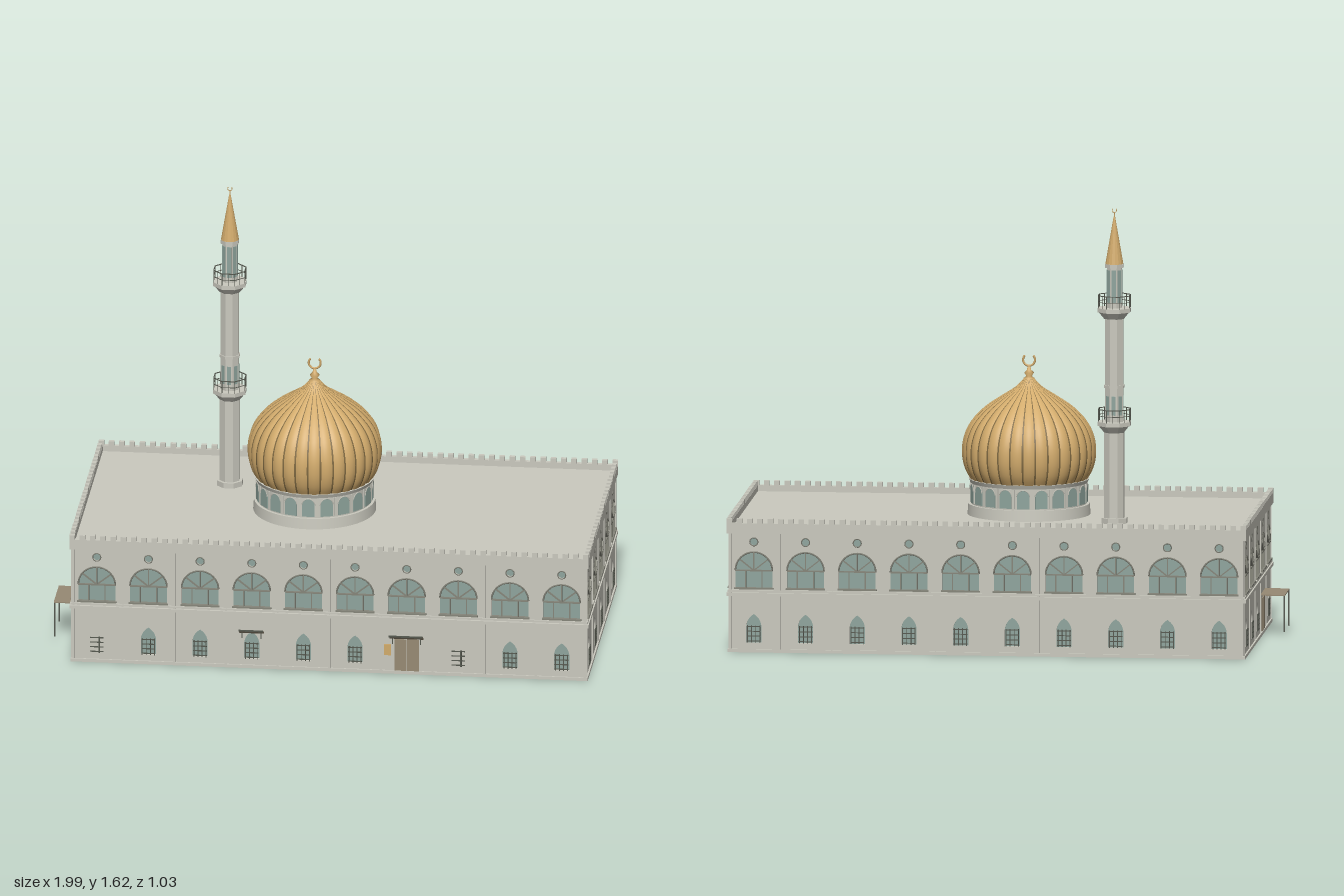
import * as THREE from 'three';
import { mergeGeometries } from 'three/addons/utils/BufferGeometryUtils.js';

const mat = (name, color, side = THREE.FrontSide) => {
  const m = new THREE.MeshStandardMaterial({ color, side });
  m.name = name;
  return m;
};

export function createModel() {
  const stone = mat('pale stone', 0xcac9be);
  const glass = mat('green glass', 0x8fa59d);
  const gold = mat('dome gold', 0xd2ab6c, THREE.DoubleSide);
  const groove = mat('dome groove', 0x806a42, THREE.DoubleSide);
  const iron = mat('dark iron', 0x55584f);
  const bar = mat('window bar', 0x85857a);
  const wood = mat('brown wood', 0x978a74);

  const model = new THREE.Group();
  model.name = 'domedHall';

  // ---- helpers ----
  const box = (w, h, d, x = 0, y = 0, z = 0) => new THREE.BoxGeometry(w, h, d).translate(x, y, z);
  const add = (parent, name, geos, material) => {
    const list = [].concat(geos).map((g) => (g.index ? g.toNonIndexed() : g));
    const mesh = new THREE.Mesh(mergeGeometries(list), material);
    mesh.name = name;
    parent.add(mesh);
    return mesh;
  };
  const group = (name, x, y, z, ry = 0) => {
    const g = new THREE.Group();
    g.name = name;
    g.position.set(x, y, z);
    g.rotation.y = ry;
    model.add(g);
    return g;
  };
  // prism standing between y0 and y1, with flat sides facing the axes
  const prism = (r0, r1, y0, y1, sides = 8) => {
    const g = new THREE.CylinderGeometry(r1, r0, y1 - y0, sides)
      .rotateY(Math.PI / sides).translate(0, (y0 + y1) / 2, 0).toNonIndexed();
    g.computeVertexNormals();
    return g;
  };
  const roundArch = (P, x, y, w, h) => {
    const r = w / 2;
    const p = new P();
    p.moveTo(x - r, y);
    p.lineTo(x + r, y);
    p.lineTo(x + r, y + h - r);
    p.absarc(x, y + h - r, r, 0, Math.PI, false);
    p.closePath();
    return p;
  };
  const pointedArch = (P, x, y, w, h) => {
    const r = w / 2, s = y + h * 0.58;
    const p = new P();
    p.moveTo(x - r, y);
    p.lineTo(x + r, y);
    p.lineTo(x + r, s);
    p.quadraticCurveTo(x + r * 0.9, s + h * 0.27, x, y + h);
    p.quadraticCurveTo(x - r * 0.9, s + h * 0.27, x - r, s);
    p.closePath();
    return p;
  };
  const circle = (P, x, y, r) => {
    const p = new P();
    p.absarc(x, y, r, 0, Math.PI * 2, false);
    return p;
  };

  // ---- main block ----
  const CX = 0.035, CZ = -0.02, W = 1.89, D = 0.98, T = 0.012, ROOF = 0.455;
  const block = group('hall', CX, 0, CZ);
  add(block, 'core', box(W - 2 * T, ROOF, D - 2 * T, 0, ROOF / 2, 0), stone);
  add(block, 'ledges', [
    box(W + 0.012, 0.012, D + 0.012, 0, 0.006, 0),
    box(W + 0.02, 0.012, D + 0.02, 0, 0.214, 0),
    box(W + 0.012, 0.008, D + 0.012, 0, 0.226, 0),
    box(W + 0.02, 0.016, D + 0.02, 0, ROOF - 0.008, 0),
  ], stone);

  // parapet with small merlons
  const parapet = [];
  const PW = W + 0.02, PD = D + 0.02, PT = 0.016;
  for (const s of [-1, 1]) {
    parapet.push(box(PW, 0.022, PT, 0, 0.466, s * (PD - PT) / 2));
    parapet.push(box(PT, 0.022, PD, s * (PW - PT) / 2, 0.466, 0));
    for (let i = 0; i <= 50; i++) {
      parapet.push(box(0.02, 0.018, PT, (i / 50 - 0.5) * (PW - 0.02), 0.485, s * (PD - PT) / 2));
    }
    for (let i = 1; i < 26; i++) {
      parapet.push(box(PT, 0.018, 0.02, s * (PW - PT) / 2, 0.485, (i / 26 - 0.5) * (PD - 0.02)));
    }
  }
  add(block, 'parapet', parapet, stone);

  // One wall; each letter is a ground-floor bay: w window, b bars only, d door
  const wall = (name, width, pitch, bays, x, z, ry) => {
    const g = group(name, x, 0, z, ry);
    const face = new THREE.Shape();
    face.moveTo(-width / 2, 0);
    face.lineTo(width / 2, 0);
    face.lineTo(width / 2, ROOF - 0.01);
    face.lineTo(-width / 2, ROOF - 0.01);
    face.closePath();
    const panes = [], bars = [], grilles = [], doors = [], ribs = [];
    const n = bays.length;
    for (let i = 0; i <= n; i++) {
      const e = (i - n / 2) * pitch;
      const px = THREE.MathUtils.clamp(e, -width / 2 + 0.005, width / 2 - 0.005);
      ribs.push(box(0.008, ROOF - 0.02, 0.008, px, ROOF / 2, 0));
    }
    [...bays].forEach((kind, i) => {
      const u = (i - (n - 1) / 2) * pitch;
      // upper arched window and round light
      const big = [u, 0.236, 0.136, 0.134];
      face.holes.push(roundArch(THREE.Path, ...big), circle(THREE.Path, u, 0.408, 0.014));
      panes.push(roundArch(THREE.Shape, ...big), circle(THREE.Shape, u, 0.408, 0.014));
      bars.push(box(0.136, 0.005, 0.008, u, 0.302, 0), box(0.144, 0.006, 0.016, u, 0.236, 0));
      for (const s of [-1, 1]) bars.push(box(0.004, 0.066, 0.008, u + s * 0.03, 0.269, 0));
      for (const a of [-0.9, 0, 0.9]) {
        bars.push(box(0.004, 0.066, 0.008, 0, 0.033, 0).rotateZ(a).translate(u, 0.302, 0));
      }
      bars.push(new THREE.TorusGeometry(0.068, 0.003, 4, 16, Math.PI).translate(u, 0.302, 0));
      bars.push(new THREE.TorusGeometry(0.015, 0.002, 4, 14).translate(u, 0.408, 0));
      // ground floor
      if (kind === 'd') {
        for (const s of [-1, 1]) doors.push(box(0.044, 0.122, 0.008, u + s * 0.023, 0.073, 0));
        return;
      }
      if (kind === 'w') {
        const small = [u, 0.035, 0.056, 0.106];
        face.holes.push(pointedArch(THREE.Path, ...small));
        panes.push(pointedArch(THREE.Shape, ...small));
      }
      for (let k = 0; k < 4; k++) {
        if (kind === 'w') grilles.push(box(0.003, 0.064, 0.004, u + (k - 1.5) * 0.015, 0.068, 0.004));
        grilles.push(box(0.05, 0.003, 0.004, u, 0.042 + k * 0.018, 0.004));
      }
      if (kind === 'b') grilles.push(box(0.006, 0.064, 0.004, u + 0.01, 0.068, 0.004));
    });
    const skin = new THREE.ExtrudeGeometry(face, { depth: T, bevelEnabled: false, curveSegments: 10 });
    add(g, 'wallSkin', skin.translate(0, 0, -T), stone);
    add(g, 'pilasters', ribs, stone);
    add(g, 'windowPanes', new THREE.ShapeGeometry(panes, 10).translate(0, 0, -T + 0.003), glass);
    add(g, 'windowBars', bars, bar);
    add(g, 'grilles', grilles, iron);
    if (doors.length) add(g, 'doubleDoor', doors, wood);
  };
  wall('frontWall', W, 0.19, 'bwwwwwdbww', CX, CZ + D / 2, 0);
  wall('backWall', W, 0.19, 'wwwwwwwwww', CX, CZ - D / 2, Math.PI);
  wall('leftWall', D, 0.2, 'wwwww', CX + W / 2, CZ, Math.PI / 2);
  wall('rightWall', D, 0.2, 'wwwdw', CX - W / 2, CZ, -Math.PI / 2);

  // front awnings, tilted up outwards, and a notice board
  for (const [x, w] of [[-0.25, 0.09], [0.32, 0.124]]) {
    const a = group('awning', x, 0.147, CZ + D / 2 + 0.018);
    add(a, 'awningBoard', box(w, 0.005, 0.042).rotateX(-0.5), wood);
    add(a, 'awningEdge', box(w, 0.006, 0.003, 0, 0.01, 0.019), iron);
    add(a, 'brackets', [-1, 1].map((s) => box(0.004, 0.03, 0.004, s * (w / 2 - 0.01), -0.014, -0.01)), iron);
  }
  add(model, 'noticeBoard', box(0.026, 0.042, 0.006, 0.25, 0.092, CZ + D / 2 + 0.002), gold);

  // side canopy on posts
  const canopy = group('sideCanopy', -0.955, 0, 0.185);
  add(canopy, 'canopyRoof', box(0.09, 0.004, 0.17, 0, 0.15, 0), wood);
  add(canopy, 'canopyPosts', [-1, 1].map((s) => box(0.005, 0.135, 0.005, -0.042, 0.0825, s * 0.08)), iron);

  // ---- dome ----
  const dome = group('dome', -0.07, 0, -0.003);
  add(dome, 'drum', [
    new THREE.CylinderGeometry(0.212, 0.212, 0.14, 60).translate(0, 0.52, 0),
    new THREE.CylinderGeometry(0.222, 0.225, 0.04, 60).translate(0, 0.475, 0),
    new THREE.CylinderGeometry(0.221, 0.215, 0.014, 60).translate(0, 0.58, 0),
  ], stone);
  const drumPanes = [], drumFrames = [];
  for (let i = 0; i < 20; i++) {
    const a = (i / 20) * Math.PI * 2;
    const arch = roundArch(THREE.Shape, 0, 0.5, 0.046, 0.068);
    drumPanes.push(new THREE.ExtrudeGeometry(arch, { depth: 0.006, bevelEnabled: false, curveSegments: 6 })
      .translate(0, 0, 0.2085).rotateY(a));
    drumFrames.push(new THREE.TorusGeometry(0.024, 0.002, 4, 10, Math.PI).translate(0, 0.545, 0.214).rotateY(a));
    drumFrames.push(box(0.005, 0.07, 0.008, 0, 0.535, 0.212).rotateY(a + Math.PI / 20));
  }
  add(dome, 'drumWindows', drumPanes, glass);
  add(dome, 'drumArches', drumFrames, stone);

  // bulbous shell made of lobes separated by narrow grooves
  const profile = new THREE.SplineCurve([
    [0.214, 0.583], [0.234, 0.62], [0.245, 0.67], [0.241, 0.73], [0.216, 0.79],
    [0.165, 0.845], [0.1, 0.89], [0.05, 0.922], [0.018, 0.955],
  ].map(([r, y]) => new THREE.Vector2(r, y))).getPoints(30);
  const strip = (a0, a1, segs, bulge) => {
    const pos = [], idx = [];
    profile.forEach(({ x, y }, j) => {
      for (let i = 0; i <= segs; i++) {
        const t = i / segs, a = a0 + (a1 - a0) * t;
        const r = x * (0.98 + bulge * 4 * t * (1 - t));
        pos.push(r * Math.sin(a), y, r * Math.cos(a));
        if (i < segs && j < profile.length - 1) {
          const p = j * (segs + 1) + i, q = p + segs + 1;
          idx.push(p, p + 1, q + 1, p, q + 1, q);
        }
      }
    });
    const g = new THREE.BufferGeometry();
    g.setAttribute('position', new THREE.Float32BufferAttribute(pos, 3));
    g.setIndex(idx);
    g.computeVertexNormals();
    return g;
  };
  const lobes = [], grooves = [], step = Math.PI / 16, gap = 0.013;
  for (let i = 0; i < 32; i++) {
    lobes.push(strip(i * step + gap, (i + 1) * step - gap, 6, 0.02));
    grooves.push(strip(i * step - gap, i * step + gap, 1, 0));
  }
  add(dome, 'domeLobes', lobes, gold);
  add(dome, 'domeGrooves', grooves, groove);
  add(dome, 'finial', new THREE.LatheGeometry([
    [0.024, 0.94], [0.02, 0.955], [0.01, 0.962], [0.018, 0.975], [0.008, 0.985], [0.005, 0.998], [0, 1.0],
  ].map(([r, y]) => new THREE.Vector2(r, y)), 16), gold);
  add(dome, 'crescent', new THREE.TorusGeometry(0.022, 0.004, 6, 20, Math.PI * 1.5)
    .rotateZ(Math.PI * 0.75).translate(0, 1.022, 0), gold);

  // ---- minaret ----
  const tower = group('minaret', -0.405, 0, -0.215);
  add(tower, 'shaft', [
    prism(0.05, 0.05, 0.45, 0.475), prism(0.039, 0.039, 0.47, 0.8), prism(0.035, 0.035, 0.82, 1.22),
    prism(0.039, 0.039, 0.955, 0.965), prism(0.029, 0.029, 1.24, 1.41), prism(0.035, 0.035, 1.398, 1.412),
  ], stone);
  const rails = [], turretPanes = [];
  for (const y of [0.79, 1.21]) {
    add(tower, 'balcony', [prism(0.039, 0.06, y, y + 0.025), prism(0.064, 0.064, y + 0.025, y + 0.04)], stone);
    for (let i = 0; i < 8; i++) {
      const a = (i * Math.PI) / 4;
      rails.push(box(0.048, 0.003, 0.003, 0, y + 0.086, 0.057).rotateY(a));
      rails.push(box(0.048, 0.002, 0.002, 0, y + 0.062, 0.057).rotateY(a));
      for (const u of [-0.023, 0]) rails.push(box(0.002, 0.046, 0.002, u, y + 0.063, 0.057).rotateY(a));
    }
  }
  for (let i = 0; i < 8; i++) {
    const a = (i * Math.PI) / 4;
    turretPanes.push(box(0.016, 0.12, 0.003, 0, 1.33, 0.0268).rotateY(a));
    turretPanes.push(box(0.015, 0.07, 0.003, 0, 0.89, 0.0322).rotateY(a));
  }
  add(tower, 'balconyRails', rails, iron);
  add(tower, 'towerWindows', turretPanes, glass);
  add(tower, 'spire', prism(0.033, 0.003, 1.412, 1.585, 16), gold);
  add(tower, 'spireTip', [
    new THREE.CylinderGeometry(0.0015, 0.002, 0.02, 6).translate(0, 1.592, 0),
    new THREE.TorusGeometry(0.008, 0.0015, 5, 14, Math.PI * 1.5).rotateZ(Math.PI * 0.75).translate(0, 1.609, 0),
  ], gold);

  return model;
}
